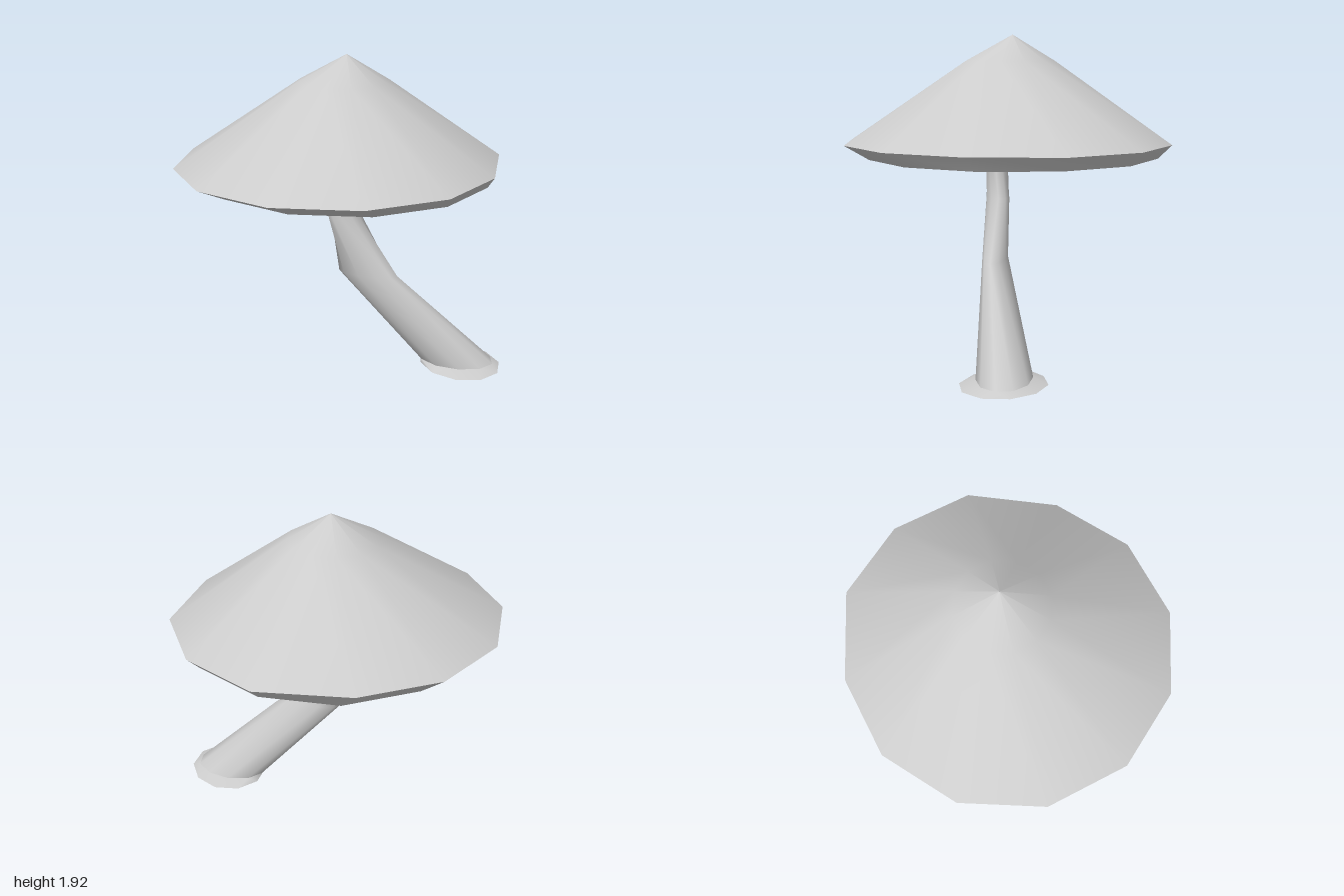
import * as THREE from 'three';

const material = new THREE.MeshStandardMaterial({ color: 0xcccccc, side: THREE.DoubleSide });

// One closed cross-section: centre, half widths and skew c (how far z follows x)
function ring(n, y, cx, cz, hx, hz = hx, c = 0) {
  const s = Math.sqrt(1 - c * c);
  return Array.from({ length: n }, (_, i) => {
    const t = (i / n) * Math.PI * 2;
    return new THREE.Vector3(
      cx + hx * Math.sin(t), y, cz + hz * (c * Math.sin(t) + s * Math.cos(t)));
  });
}

// Smooth skin over successive rings with equal point counts
function loft(name, rings) {
  const n = rings[0].length;
  const index = [];
  for (let r = 0; r < rings.length - 1; r++) {
    for (let i = 0; i < n; i++) {
      const a = r * n + i, b = r * n + (i + 1) % n;
      index.push(a, b, a + n, b, b + n, a + n);
    }
  }
  const geometry = new THREE.BufferGeometry().setFromPoints(rings.flat());
  geometry.setIndex(index);
  geometry.computeVertexNormals();
  const mesh = new THREE.Mesh(geometry, material);
  mesh.name = name;
  return mesh;
}

export function createModel() {
  const model = new THREE.Group();
  model.name = 'mushroom';

  // Cap: twelve-sided, its back edge pulled slightly outwards
  const rim = ring(12, 1.28, 0, 0.03, 0.965);
  rim.forEach(p => { if (p.z < -0.7) p.z -= 0.065; });
  const lip = ring(12, 1.2, 0, -0.05, 0.87);
  const cap = new THREE.Group();
  cap.name = 'cap';
  cap.add(
    loft('capTop', [
      rim,
      ring(12, 1.765, 0, -0.03, 0.275),
      ring(12, 1.92, 0, -0.05, 0.002),
    ]),
    loft('capLip', [lip, rim]),
    loft('capUnderside', [
      ring(12, 1.8, 0, -0.05, 0.002),
      ring(12, 1.67, 0, -0.04, 0.25),
      lip,
    ]),
  );
  model.add(cap);

  // Leaning stem, from the wide foot up into the hollow of the cap
  const foot = ring(10, 0.04, 0.55, -0.49, 0.21, 0.185, -0.35);
  model.add(loft('stem', [
    foot,
    ring(10, 0.6, 0.18, -0.075, 0.16, 0.115, -0.71),
    ring(10, 0.95, 0.065, 0.01, 0.065, 0.1, -0.34),
    ring(10, 1.2, 0.025, 0.055, 0.095, 0.09, -0.5),
    ring(10, 1.68, -0.05, 0.135, 0.15, 0.07, -0.85),
  ]));

  // Thin flared base with a slightly bulging underside
  const edge = ring(10, 0.015, 0.57, -0.503, 0.265, 0.235);
  const base = new THREE.Group();
  base.name = 'base';
  base.add(
    loft('baseFlare', [edge, foot]),
    loft('baseUnderside', [ring(10, 0, 0.57, -0.5, 0.002), edge]),
  );
  model.add(base);

  return model;
}
